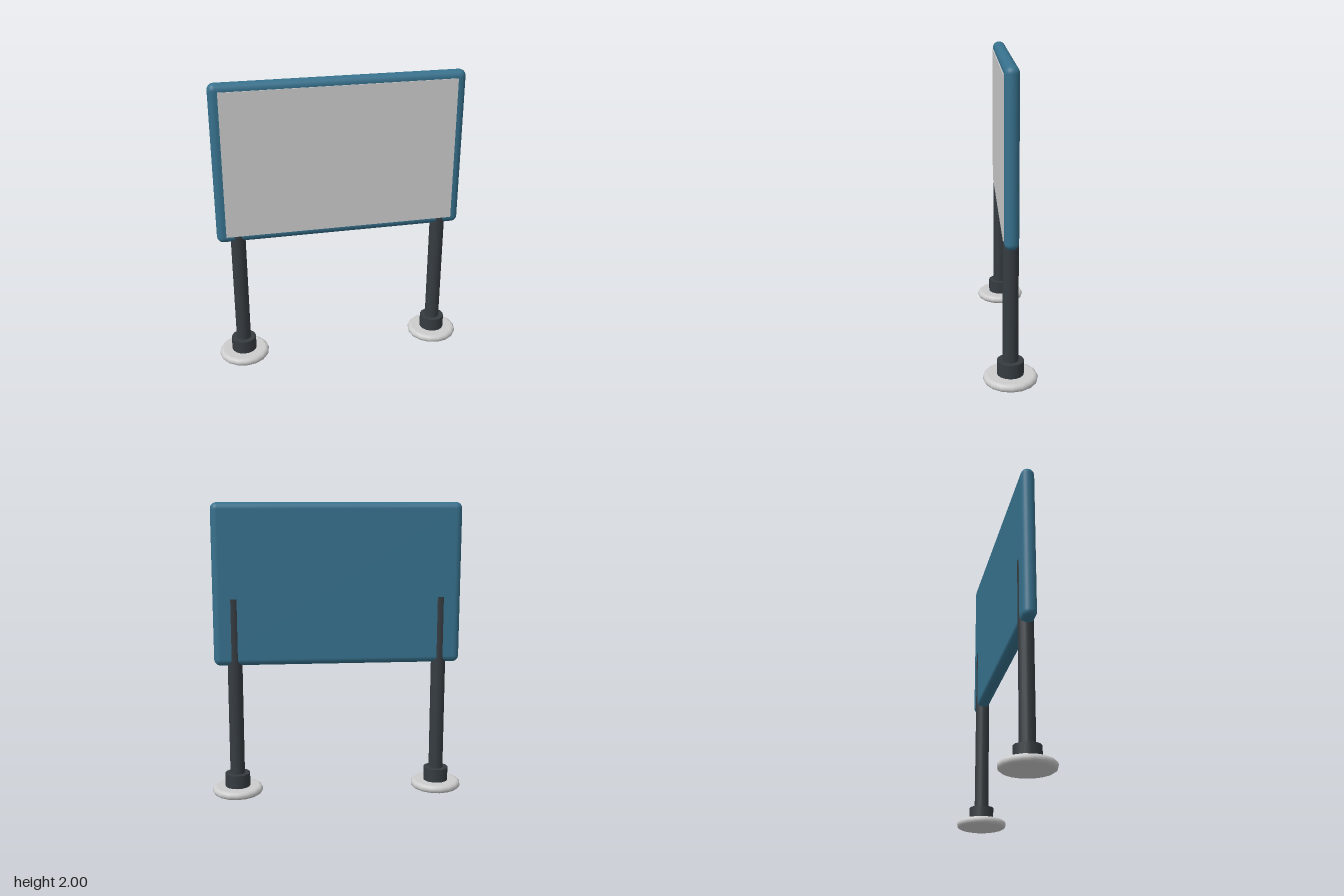
import * as THREE from 'three';
import { RoundedBoxGeometry } from 'three/addons/geometries/RoundedBoxGeometry.js';

const SIDES = 16;
const grey = new THREE.MeshStandardMaterial({ color: 0xcccccc });
const blue = new THREE.MeshStandardMaterial({ color: 0x37718d });
const dark = new THREE.MeshStandardMaterial({ color: 0x363c41 });

function addPart(parent, name, geometry, material, x = 0, y = 0, z = 0) {
  const mesh = new THREE.Mesh(geometry, material);
  mesh.name = name;
  mesh.position.set(x, y, z);
  parent.add(mesh);
  return mesh;
}

// Upright cylinder standing between two heights
function addColumn(parent, name, radius, bottom, top, material) {
  const geometry = new THREE.CylinderGeometry(radius, radius, top - bottom, SIDES);
  addPart(parent, name, geometry, material, 0, (bottom + top) / 2);
}

// Disc with a rounded rim, profile from bottom centre to top centre
function discGeometry(radius, height) {
  const r = height / 2;
  const points = [new THREE.Vector2(0, 0), new THREE.Vector2(radius - r - 0.002, 0)];
  for (let i = 0; i <= 8; i++) {
    const a = -Math.PI / 2 + (i / 8) * Math.PI;
    points.push(new THREE.Vector2(radius - r + Math.cos(a) * r, r + Math.sin(a) * r));
  }
  points.push(new THREE.Vector2(radius - r - 0.002, height), new THREE.Vector2(0, height));
  return new THREE.LatheGeometry(points, SIDES);
}

export function createModel() {
  const model = new THREE.Group();
  model.name = 'signBoard';

  // Board with fully rounded edges
  addPart(model, 'boardFrame', new RoundedBoxGeometry(1.68, 1.09, 0.09, 5, 0.044), blue, 0, 1.455, 0);

  // Display panel standing slightly proud of the front
  addPart(model, 'displayPanel', new THREE.BoxGeometry(1.56, 0.99, 0.02), grey, 0, 1.455, 0.041);

  // Two legs, each with a post, collar and foot
  for (const [name, side] of [['leftLeg', 1], ['rightLeg', -1]]) {
    const leg = new THREE.Group();
    leg.name = name;
    leg.position.x = side * 0.7;
    addColumn(leg, 'post', 0.05, 0.04, 1.365, dark);
    addColumn(leg, 'collar', 0.086, 0.04, 0.145, dark);
    addPart(leg, 'foot', discGeometry(0.175, 0.053), grey);
    model.add(leg);
  }
  return model;
}
